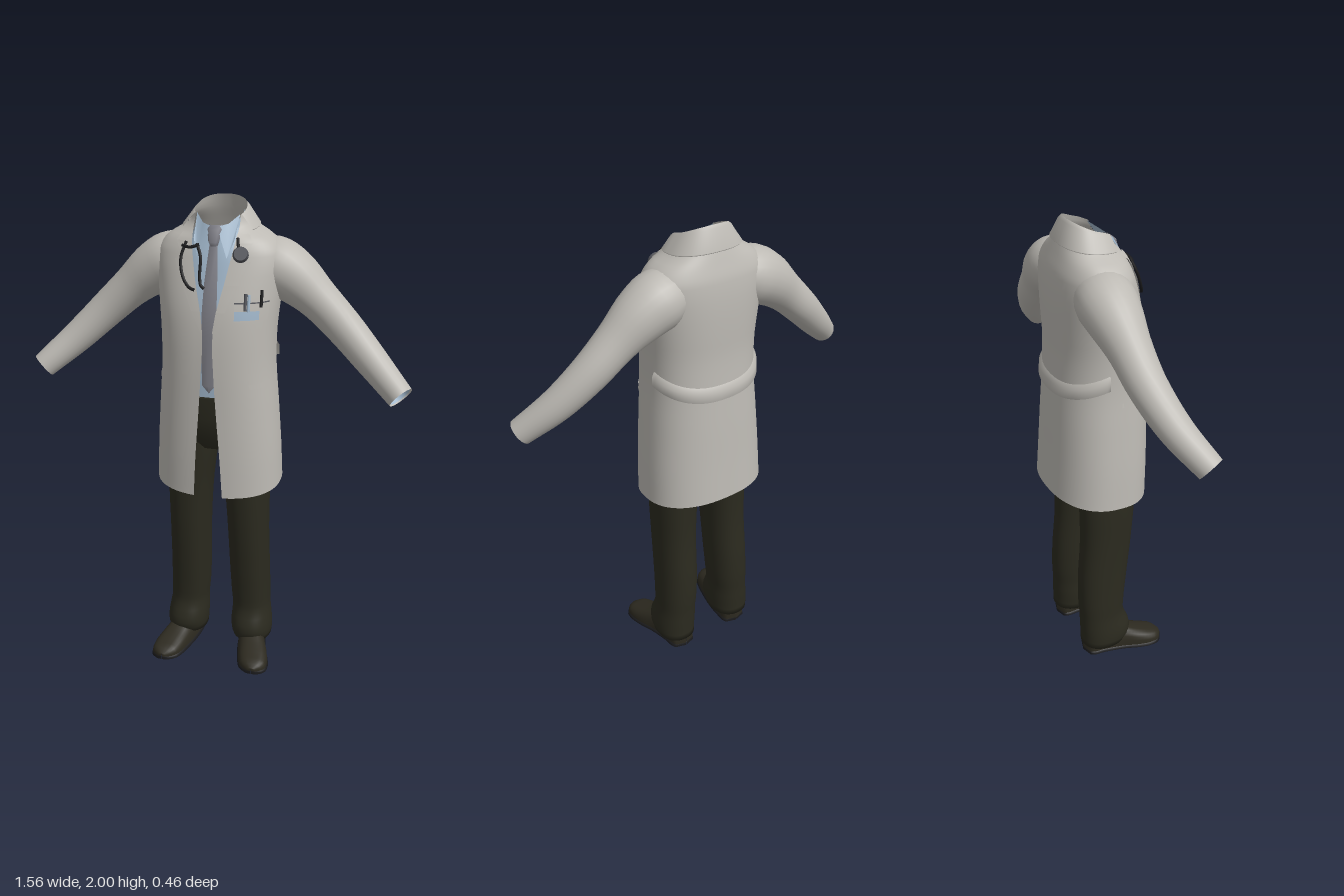
import * as THREE from 'three';

const mat = (name, color, side = THREE.FrontSide) =>
  Object.assign(new THREE.MeshStandardMaterial({ color, side }), { name });

// Smooth interpolation of a table whose first column is the parameter
function profile(rows) {
  const size = rows[0].length - 1;
  const f = new THREE.CubicInterpolant(rows.map(r => r[0]), rows.flatMap(r => r.slice(1)), size);
  return p => Array.from(f.evaluate(p));
}
const range = (a, b, n) => Array.from({ length: n + 1 }, (_, i) => a + (b - a) * i / n);

// Surface through rows of [x, y, z] points
function loft(rows, closed = false) {
  const n = rows[0].length, index = [], m = closed ? n : n - 1;
  for (let i = 0; i < rows.length - 1; i++) for (let j = 0; j < m; j++) {
    const a = i * n + j, b = i * n + (j + 1) % n;
    index.push(a, b, b + n, a, b + n, a + n);
  }
  const g = new THREE.BufferGeometry();
  g.setAttribute('position', new THREE.Float32BufferAttribute(rows.flat(2), 3));
  g.setIndex(index);
  g.computeVertexNormals();
  return g;
}
function mirrored(geo) {
  const g = geo.clone().scale(-1, 1, 1), a = g.index.array;
  for (let i = 0; i < a.length; i += 3) [a[i], a[i + 1]] = [a[i + 1], a[i]];
  g.computeVertexNormals();
  return g;
}
const spow = (v, e) => Math.sign(v) * Math.abs(v) ** e;
const ROUND = 0.85;

// Point on a body section: half width, front z, back z, rise towards the back
function bodyPoint(t, y, [hw, zf, zb, tilt = 0], off = 0) {
  const s = Math.sin(t), c = Math.cos(t);
  return [spow(s, ROUND) * (hw + off), y + tilt * (1 - c) / 2,
    (zf + zb) / 2 + spow(c, ROUND) * ((zf - zb) / 2 + off)];
}
const TURN = range(0, 2 * Math.PI, 48).slice(0, 48);

// y, half width, front z, back z, tilt, half opening
const coat = profile([
  [0.82, 0.265, 0.187, -0.228, 0.04, 0.06],
  [1.0, 0.257, 0.19, -0.217, 0.02, 0.05],
  [1.2, 0.243, 0.19, -0.206, 0, 0.035],
  [1.36, 0.231, 0.188, -0.195, 0, 0.025],
  [1.5, 0.232, 0.18, -0.188, 0, 0.02],
  [1.6, 0.24, 0.166, -0.19, 0, 0.033],
  [1.7, 0.25, 0.14, -0.19, 0, 0.057],
  [1.78, 0.255, 0.115, -0.185, 0, 0.073],
  [1.82, 0.242, 0.102, -0.178, 0, 0.08],
  [1.86, 0.2, 0.085, -0.162, 0.01, 0.086],
  [1.88, 0.15, 0.075, -0.15, 0.025, 0.088],
  [1.9, 0.115, 0.066, -0.135, 0.045, 0.09],
  [1.925, 0.1, 0.058, -0.118, 0.075, 0.088],
]);
function coatFront(x, y, off = 0) {
  const [hw, zf, zb] = coat(y);
  const s = Math.min(1, (Math.abs(x) / hw) ** (1 / ROUND));
  return (zf + zb) / 2 + (zf - zb) / 2 * (1 - s * s) ** (ROUND / 2) + off;
}
// Thin panel lying on the coat front, from rows of [y, x0, x1]
function panel(rows, off = 0.007) {
  const out = [];
  rows.slice(1).forEach((r, i) => range(0, 1, 4).forEach(k => {
    const [y, a, b] = r.map((v, q) => rows[i][q] + (v - rows[i][q]) * k);
    out.push(range(a, b, 6).map(x => [x, y, coatFront(x, y, off)]));
  }));
  return loft(out);
}

export function createModel() {
  const model = new THREE.Group();
  const white = mat('coatCloth', 0xbdbab4, THREE.DoubleSide);
  const blue = mat('shirtCloth', 0xa2b8cc);
  const blueThin = mat('shirtCollarCloth', 0xa2b8cc, THREE.DoubleSide);
  const grey = mat('tieCloth', 0x7f7f87, THREE.DoubleSide);
  const olive = mat('trouserCloth', 0x2b2a1f);
  const leather = mat('shoeLeather', 0x2d2a20);
  const black = mat('blackRubber', 0x1b1b1d);
  const metal = mat('darkMetal', 0x55565c);
  const add = (name, geo, m) => {
    const mesh = new THREE.Mesh(geo, m);
    mesh.name = name;
    model.add(mesh);
    return mesh;
  };
  const pair = (name, geo, m) => {
    add(name + 'Left', geo, m);
    add(name + 'Right', mirrored(geo), m);
  };

  // Coat body, open down the front
  const levels = [...range(0.82, 1.8, 28), ...range(1.815, 1.925, 11)];
  add('coatBody', loft(levels.map(y => {
    const p = coat(y), t0 = Math.asin(Math.min(1, p[4] / p[0]) ** (1 / ROUND));
    return range(t0, 2 * Math.PI - t0, 56).map(t => bodyPoint(t, y, p));
  })), white);

  // Folded collar, lapels and back belt
  const strip = (rows, a, b) => loft(rows.map(([y, off, rise]) =>
    range(a, b, 40).map(t => {
      const yy = y + rise * (1 + Math.cos(t));
      return bodyPoint(t, yy, coat(yy), off);
    })));
  add('collarFold', strip([[1.882, 0.004, 0], [1.885, 0.012, 0], [1.92, 0.007, 0], [1.925, 0, 0]], 1.1, 2 * Math.PI - 1.1), white);
  add('backBelt', strip([[1.325, 0, 0.07], [1.327, 0.012, 0.07], [1.365, 0.012, 0.07], [1.385, 0, 0.07]], 1.75, 2 * Math.PI - 1.75), white);
  pair('lapel', panel([[1.52, 0.02, 0.024], [1.6, 0.032, 0.066], [1.7, 0.056, 0.112], [1.785, 0.073, 0.15],
    [1.797, 0.076, 0.118], [1.85, 0.085, 0.15], [1.88, 0.088, 0.13]], 0.008), white);
  pair('sidePocketWelt', panel([[1.295, 0.165, 0.236], [1.315, 0.16, 0.234]], 0.008), white);

  // Sleeves: x, y, z, radius
  const arm = profile([
    [0, 0.1, 1.765, -0.055, 0.085],
    [0.15, 0.2, 1.745, -0.06, 0.114],
    [0.3, 0.285, 1.702, -0.06, 0.106],
    [0.45, 0.385, 1.622, -0.052, 0.083],
    [0.6, 0.49, 1.525, -0.038, 0.074],
    [0.78, 0.61, 1.41, 0.005, 0.065],
    [1, 0.742, 1.292, 0.08, 0.053],
  ]);
  const armRing = (k, scale = 1) => {
    const [x, y, z, r] = arm(k);
    const e = 0.02, p = arm(Math.max(0, k - e)), q = arm(Math.min(1, k + e));
    const T = new THREE.Vector3(q[0] - p[0], q[1] - p[1], q[2] - p[2]).normalize();
    const u = new THREE.Vector3().crossVectors(T, new THREE.Vector3(0, 1, 0)).normalize();
    const v = new THREE.Vector3().crossVectors(T, u);
    return range(0, 2 * Math.PI, 24).slice(0, 24).map(a => new THREE.Vector3(x, y, z)
      .addScaledVector(u, Math.cos(a) * r * scale).addScaledVector(v, Math.sin(a) * r * scale).toArray());
  };
  pair('sleeve', loft(range(0, 1, 28).map(k => armRing(k)), true), white);
  pair('shirtCuff', loft([armRing(0.94, 0.88), armRing(0.995, 0.88)], true), blueThin);
  pair('sleeveLining', loft([armRing(0.975, 0.88), armRing(0.975, 0.001)], true), metal);

  // Shirt, its collar and the tie
  const shirt = profile([
    [1.2, 0.2, 0.16, -0.165, 0], [1.5, 0.2, 0.16, -0.165, 0], [1.6, 0.2, 0.146, -0.165, 0],
    [1.7, 0.195, 0.12, -0.16, 0], [1.8, 0.165, 0.092, -0.15, 0], [1.85, 0.12, 0.074, -0.135, 0],
    [1.89, 0.092, 0.06, -0.117, 0.04],
  ]);
  add('shirtBody', loft(range(1.2, 1.89, 24).map(y => TURN.map(t => bodyPoint(t, y, shirt(y)))), true), blue);
  add('shirtCollarBand', loft([[1.88, 0.093, 0.062, -0.112, 0.05], [1.905, 0.087, 0.054, -0.11, 0.075]]
    .map(([y, ...p]) => TURN.map(t => bodyPoint(t, y, p))), true), blue);
  pair('shirtCollarWing', loft([
    [[0.03, 1.86, 0.09], [0.058, 1.795, 0.112], [0.08, 1.86, 0.078]],
    [[0.012, 1.905, 0.066], [0.05, 1.915, 0.052], [0.085, 1.945, 0.01]],
  ]), blueThin);
  add('tie', loft([[1.27, 0.002, 0.166], [1.3, 0.026, 0.17], [1.5, 0.03, 0.169], [1.6, 0.029, 0.155],
    [1.7, 0.026, 0.132], [1.84, 0.016, 0.088]]
    .map(([y, w, z]) => [[-w, y, z - 0.004], [0, y, z + 0.003], [w, y, z - 0.004]])), grey);
  add('tieKnot', loft([[1.835, 0.015, 0.093], [1.85, 0.021, 0.098], [1.895, 0.03, 0.082], [1.91, 0.026, 0.064]]
    .map(([y, w, z]) => [[-w, y, z - 0.015], [-w * 0.6, y, z], [w * 0.6, y, z], [w, y, z - 0.015]])), grey);

  // Trousers: hips closed at the waist, and two legs
  add('trouserHips', loft([[1.0, 0.17, 0.1, -0.12], [1.06, 0.205, 0.145, -0.16], [1.15, 0.208, 0.158, -0.165],
    [1.24, 0.205, 0.164, -0.168], [1.25, 0.2, 0.16, -0.165], [1.25, 0.001, 0.001, -0.001]]
    .map(([y, ...p]) => TURN.map(t => bodyPoint(t, y, p))), true), olive);
  const ring = (y, [cx, cz, rx, rz]) => TURN.map(t => [cx + spow(Math.sin(t), 0.9) * rx, y, cz + spow(Math.cos(t), 0.9) * rz]);
  const leg = profile([
    [0.05, 0.15, -0.035, 0.085, 0.1], [0.09, 0.15, -0.022, 0.09, 0.113], [0.14, 0.147, -0.025, 0.089, 0.112],
    [0.2, 0.144, -0.037, 0.083, 0.1], [0.27, 0.14, -0.038, 0.085, 0.103], [0.4, 0.135, -0.03, 0.086, 0.109],
    [0.6, 0.13, -0.012, 0.087, 0.113], [0.8, 0.124, -0.004, 0.093, 0.121], [1.0, 0.108, 0, 0.1, 0.13],
    [1.1, 0.102, 0, 0.1, 0.135],
  ]);
  pair('trouserLeg', loft([ring(0.05, [0.15, -0.035, 0.001, 0.001]),
    ...range(0.05, 1.1, 36).map(y => ring(y, leg(y)))], true), olive);

  // Shoes, toes turned out: z, centre x, half width, height
  const foot = profile([
    [-0.13, 0.145, 0.025, 0.05], [-0.115, 0.145, 0.045, 0.08], [-0.05, 0.148, 0.056, 0.105],
    [0.04, 0.163, 0.062, 0.105], [0.11, 0.183, 0.067, 0.08], [0.17, 0.197, 0.064, 0.06],
    [0.21, 0.203, 0.048, 0.046], [0.23, 0.205, 0.018, 0.03],
  ]);
  const shoe = (low, high, wide) => loft([...range(-0.13, 0.23, 24), 0.231].map((z, i) => {
    const [cx, w, h] = foot(Math.min(z, 0.23)), top = high(h), r = i === 25 || i === 0 ? 0.001 : w + wide;
    return range(0, 2 * Math.PI, 24).slice(0, 24).map(a =>
      [cx + spow(Math.cos(a), 0.7) * r, low + (top - low) * Math.max(0, spow(Math.sin(a), 0.8)), z]);
  }), true);
  pair('shoeUpper', shoe(0.015, h => h, 0), leather);
  pair('shoeSole', shoe(0, () => 0.022, 0.004), black);

  // Stethoscope lying on the lapels
  const tube = (name, pts, r, m) => add(name, new THREE.TubeGeometry(new THREE.CatmullRomCurve3(
    pts.map(([x, y, o]) => new THREE.Vector3(x, y, coatFront(x, y, o)))), 24, r, 8), m);
  tube('earTubeOuter', [[-0.105, 1.85, 0.014], [-0.12, 1.79, 0.018], [-0.105, 1.725, 0.022], [-0.075, 1.69, 0.026], [-0.05, 1.682, 0.028]], 0.006, black);
  tube('earTubeInner', [[-0.06, 1.845, 0.014], [-0.04, 1.8, 0.018], [-0.038, 1.74, 0.018], [-0.03, 1.7, 0.022], [-0.015, 1.688, 0.022]], 0.006, black);
  tube('headsetBridge', [[-0.12, 1.835, 0.016], [-0.085, 1.832, 0.02], [-0.05, 1.842, 0.014]], 0.006, black);
  tube('chestTube', [[0.093, 1.868, 0.01], [0.1, 1.845, 0.016], [0.11, 1.82, 0.02]], 0.006, black);
  const disc = add('chestPiece', new THREE.CylinderGeometry(0.025, 0.031, 0.024, 20), metal);
  disc.position.set(0.112, 1.815, coatFront(0.112, 1.815, 0.018));
  disc.rotation.set(1.2, 0, -0.2);

  // Breast pocket with card and pens
  add('breastPocket', panel([[1.565, 0.1, 0.215], [1.635, 0.1, 0.222]], 0.006), white);
  add('pocketCard', panel([[1.572, 0.102, 0.19], [1.606, 0.102, 0.19]], 0.01), blueThin);
  add('pocketRim', panel([[1.634, 0.1, 0.222], [1.639, 0.1, 0.222]], 0.009), metal);
  [[0.14, 1.64, metal], [0.152, 1.635, blueThin], [0.195, 1.65, black]].forEach(([x, y, m], i) => {
    const pen = add('pen' + (i + 1), new THREE.CylinderGeometry(0.006, 0.006, 0.065, 10), m);
    pen.position.set(x, y, coatFront(x, y, 0.008));
    pen.rotation.x = -0.2;
  });
  return model;
}
